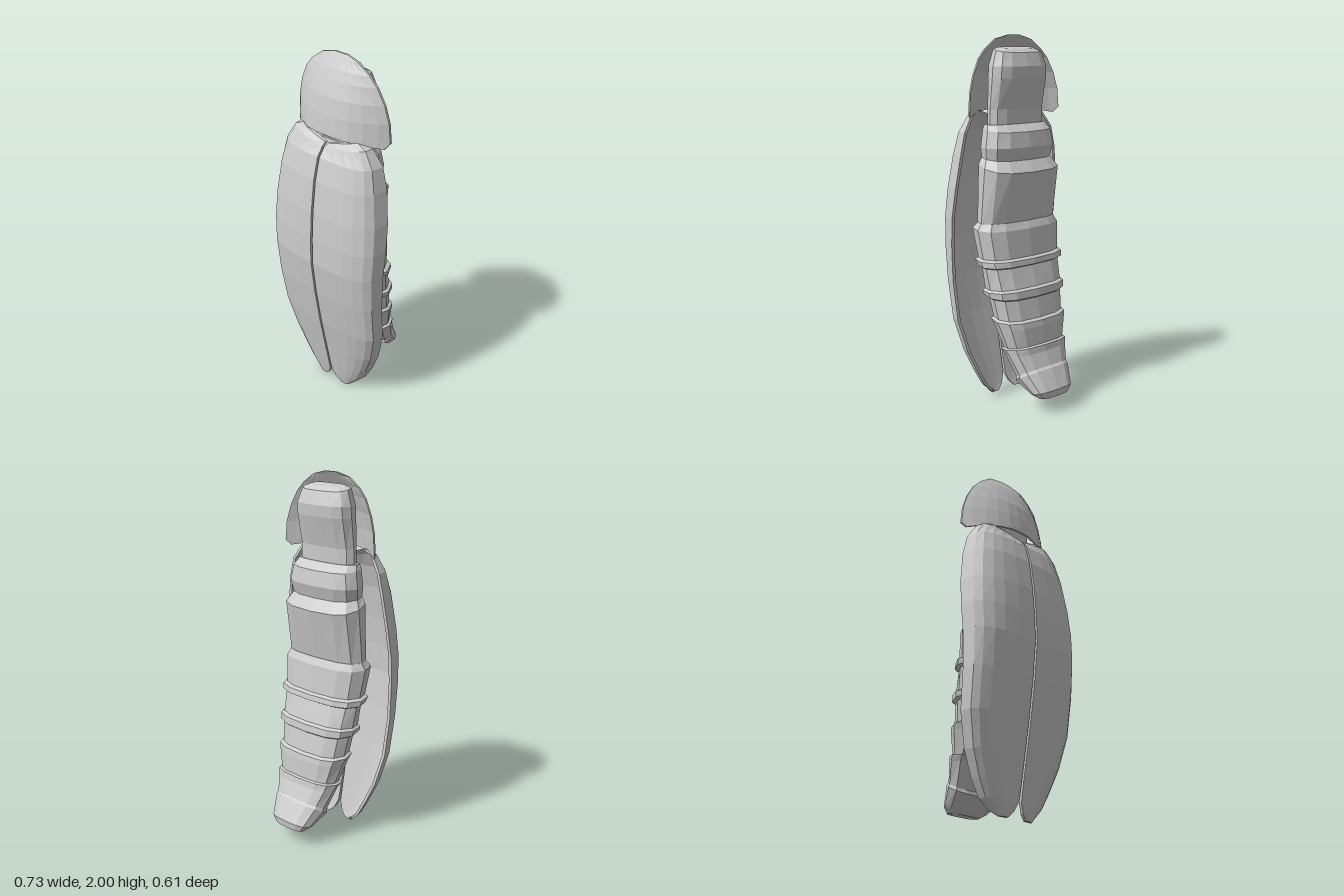
import * as THREE from 'three';

const shellGray = new THREE.MeshStandardMaterial({ color: 0xcccccc, flatShading: true });
shellGray.name = 'shell gray';

// Skin a list of closed rings, cap both ends with strips, and face it outward.
function loft(name, rings) {
  const n = rings[0].length, pos = rings.flat(2), tri = [];
  const quad = (a, b, c, d) => tri.push([a, b, c], [a, c, d]);
  for (let i = 0; i < rings.length - 1; i++)
    for (let j = 0; j < n; j++) {
      const k = (j + 1) % n;
      quad(i * n + j, i * n + k, (i + 1) * n + k, (i + 1) * n + j);
    }
  const last = (rings.length - 1) * n;
  for (let j = 0; j < n / 2 - 1; j++) {
    quad(j, n - 1 - j, n - 2 - j, j + 1);
    quad(last + j, last + j + 1, last + n - 2 - j, last + n - 1 - j);
  }
  // Signed volume tells whether the winding must be flipped.
  const v = (i) => new THREE.Vector3().fromArray(pos, i * 3);
  const volume = tri.reduce((s, t) => s + v(t[0]).dot(v(t[1]).cross(v(t[2]))), 0);
  if (volume < 0) tri.forEach((t) => t.reverse());
  const geo = new THREE.BufferGeometry();
  geo.setAttribute('position', new THREE.Float32BufferAttribute(pos, 3));
  geo.setIndex(tri.flat());
  const flat = geo.toNonIndexed();
  flat.computeVertexNormals();
  const mesh = new THREE.Mesh(flat, shellGray);
  mesh.name = name;
  return mesh;
}

// Body ring: back y, back z, front y, front z, half width.
const half = [[0, 0], [0.58, 0.05], [0.87, 0.2], [1, 0.5], [0.92, 0.85], [0.6, 1], [0, 1]];
const outline = [...half, ...half.slice(1, -1).reverse().map(([x, t]) => [-x, t])];
const bodyRing = ([yb, zb, yf, zf, w]) =>
  outline.map(([x, t]) => [x * w, yb + (yf - yb) * t, zb + (zf - zb) * t]);

const HEAD = [
  [1.93, 0, 1.94, 0.075, 0.11], [1.91, -0.03, 1.93, 0.085, 0.15], [1.84, -0.055, 1.84, 0.1, 0.175],
  [1.78, -0.05, 1.78, 0.1, 0.178], [1.62, -0.01, 1.62, 0.1, 0.178], [1.53, -0.01, 1.53, 0.1, 0.18],
];
const THORAX = [
  [1.54, -0.015, 1.54, 0.11, 0.195], [1.5, -0.06, 1.52, 0.115, 0.21], [1.42, -0.075, 1.42, 0.12, 0.225],
  [1.35, -0.055, 1.37, 0.12, 0.215], [1.29, -0.1, 1.34, 0.12, 0.245], [1.01, -0.045, 1.01, 0.12, 0.25],
];
const ABDOMEN = [
  [1.02, -0.05, 1.02, 0.12, 0.25], [0.98, -0.07, 0.99, 0.145, 0.272],
  [0.83, -0.085, 0.83, 0.115, 0.255], [0.82, -0.105, 0.82, 0.125, 0.275],
  [0.79, -0.11, 0.79, 0.105, 0.27], [0.78, -0.09, 0.78, 0.085, 0.25],
  [0.67, -0.125, 0.66, 0.075, 0.24], [0.66, -0.145, 0.65, 0.085, 0.255],
  [0.62, -0.15, 0.63, 0.08, 0.25], [0.61, -0.135, 0.62, 0.05, 0.23],
  [0.5, -0.155, 0.51, 0.03, 0.215], [0.49, -0.175, 0.5, 0.04, 0.23],
  [0.46, -0.18, 0.47, 0.02, 0.22], [0.36, -0.185, 0.34, -0.035, 0.19],
  [0.355, -0.2, 0.335, -0.02, 0.205], [0.32, -0.205, 0.31, -0.05, 0.195],
  [0.245, -0.235, 0.18, -0.115, 0.165], [0.235, -0.25, 0.16, -0.11, 0.168],
  [0.13, -0.305, 0.1, -0.2, 0.13], [0.09, -0.3, 0.085, -0.23, 0.1],
];

// Wing cover row: y, inner x, outer x, crown z, rim z, dip towards the seam.
const WING = [
  [1.61, 0.01, 0.19, 0.18, 0.13, 0.05], [1.585, 0.006, 0.25, 0.205, 0.115, 0.04],
  [1.5, 0.006, 0.305, 0.24, 0.1, 0], [1.38, 0.006, 0.333, 0.272, 0.1, 0],
  [1.2, 0.006, 0.358, 0.295, 0.117, 0], [1.05, 0.006, 0.367, 0.305, 0.137, 0],
  [0.9, 0.006, 0.363, 0.308, 0.15, 0], [0.7, 0.006, 0.358, 0.285, 0.15, 0],
  [0.48, 0.006, 0.348, 0.25, 0.125, 0], [0.3, 0.006, 0.302, 0.215, 0.102, 0],
  [0.17, 0.006, 0.245, 0.19, 0.088, 0], [0.08, 0.008, 0.195, 0.172, 0.088, 0],
  [0.03, 0.03, 0.145, 0.16, 0.1, 0], [0, 0.06, 0.11, 0.15, 0.13, 0],
];
const wingSteps = [0, 0.3, 0.55, 0.72, 0.87, 0.96, 1];
function wingRing([y, xi, xo, zc, rim, dip], side) {
  const skin = (t) => wingSteps.map((s) => [
    side * (xi + (xo - t - xi) * s), y - dip * (1 - s),
    rim + (zc - t - rim) * Math.cbrt(1 - s ** 3)]);
  return [...skin(0), ...skin(0.018).reverse()];
}

// Neck shield row: y, half width, crown z, rim z, droop of the side corners.
const SHIELD = [
  [2, 0.04, 0.075, 0.073, 0], [1.98, 0.12, 0.087, 0.078, 0], [1.93, 0.19, 0.118, 0.076, 0],
  [1.88, 0.235, 0.14, 0.072, 0], [1.8, 0.276, 0.17, 0.065, 0], [1.71, 0.302, 0.188, 0.06, 0],
  [1.635, 0.31, 0.197, 0.058, 0.025], [1.61, 0.29, 0.199, 0.08, 0.03],
];
const shieldSteps = [-1, -0.87, -0.66, -0.45, -0.22, 0, 0.22, 0.45, 0.66, 0.87, 1];
function shieldRing([y, w, zc, rim, droop]) {
  const skin = (t) => shieldSteps.map((s) => [
    s * w, y - droop * s * s, zc - t + (rim - zc) * Math.abs(s) ** 2.2]);
  return [...skin(0), ...skin(0.012).reverse()];
}

export function createModel() {
  const model = new THREE.Group();
  model.name = 'beetle';
  model.add(
    loft('head', HEAD.map(bodyRing)),
    loft('thorax', THORAX.map(bodyRing)),
    loft('abdomen', ABDOMEN.map(bodyRing)),
    loft('neckShield', SHIELD.map(shieldRing)),
    loft('leftWingCover', WING.map((r) => wingRing(r, 1))),
    loft('rightWingCover', WING.map((r) => wingRing(r, -1))),
  );
  return model;
}
